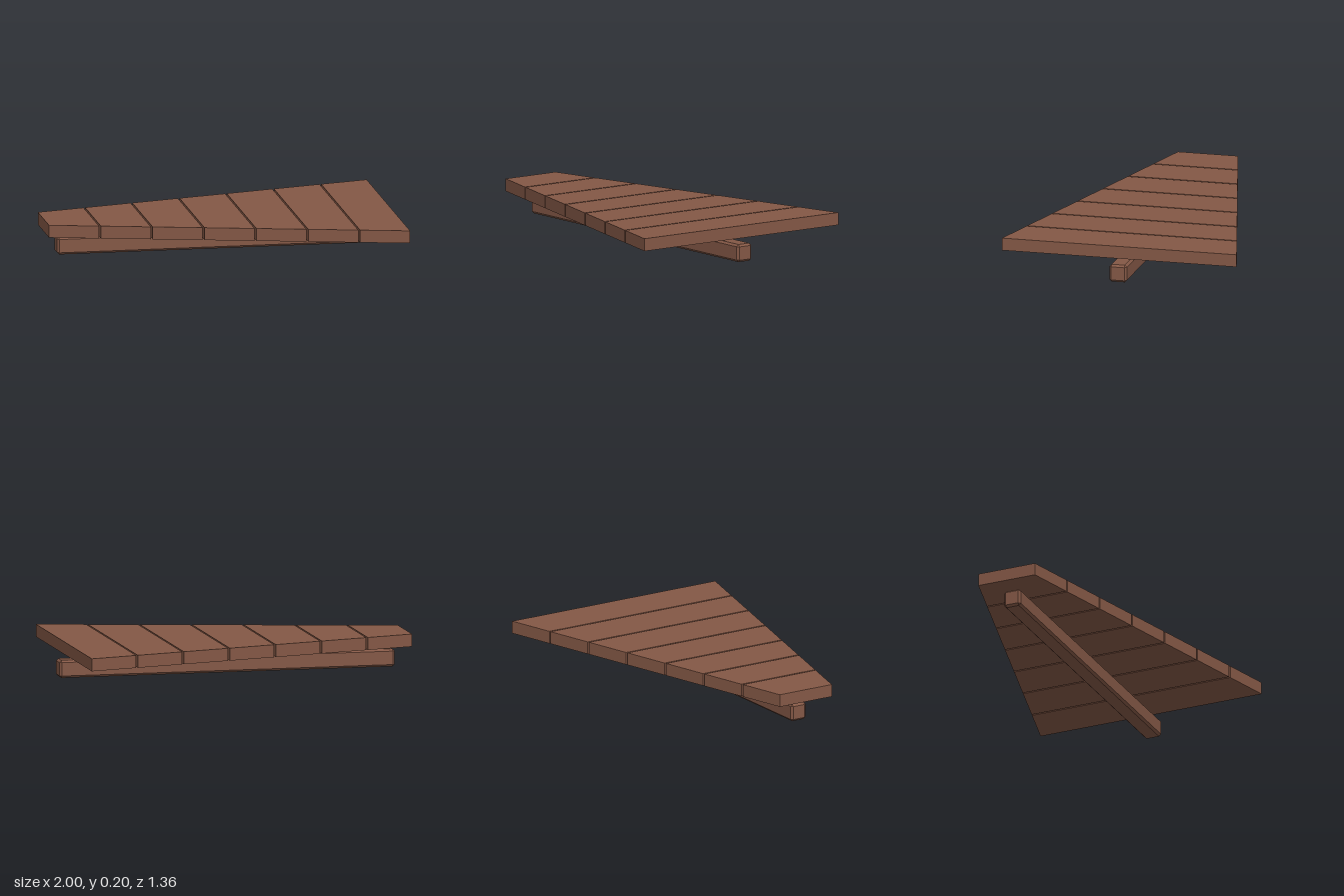
import * as THREE from 'three';
import { ConvexGeometry } from 'three/addons/geometries/ConvexGeometry.js';

const PLANKS = 7, LEFT = -1, RIGHT = 0.965, GAP = 0.01;
const PLANK_BOTTOM = 0.129, PLANK_THICKNESS = 0.071;

// Half depth of the tapered deck at a given x
const halfDepth = (x) => THREE.MathUtils.mapLinear(x, LEFT, RIGHT, 0.174, 0.68);

// Trapezoid board between two x positions
function plankGeometry(x0, x1) {
  const a = halfDepth(x0), b = halfDepth(x1);
  const shape = new THREE.Shape([
    new THREE.Vector2(x0, -a), new THREE.Vector2(x1, -b),
    new THREE.Vector2(x1, b), new THREE.Vector2(x0, a),
  ]);
  const geometry = new THREE.ExtrudeGeometry(shape, { depth: PLANK_THICKNESS, bevelEnabled: false });
  return geometry.rotateX(-Math.PI / 2);
}

// Box with every edge and corner cut flat
function chamferedBox(w, h, d, c) {
  const points = [];
  for (const sx of [-1, 1]) for (const sy of [-1, 1]) for (const sz of [-1, 1]) {
    const x = w / 2, y = h / 2, z = d / 2;
    points.push(
      new THREE.Vector3(sx * x, sy * (y - c), sz * (z - c)),
      new THREE.Vector3(sx * (x - c), sy * y, sz * (z - c)),
      new THREE.Vector3(sx * (x - c), sy * (y - c), sz * z),
    );
  }
  return new ConvexGeometry(points);
}

export function createModel() {
  const model = new THREE.Group();
  model.name = 'taperedPlankDeck';
  const wood = new THREE.MeshStandardMaterial({ color: 0x845846 });
  wood.name = 'brown wood';

  // Deck boards, widening from left to right
  const deck = new THREE.Group();
  deck.name = 'deck';
  const width = (RIGHT - LEFT - GAP * (PLANKS - 1)) / PLANKS;
  for (let i = 0; i < PLANKS; i++) {
    const x0 = LEFT + i * (width + GAP);
    const plank = new THREE.Mesh(plankGeometry(x0, x0 + width), wood);
    plank.name = `plank${i + 1}`;
    plank.position.y = PLANK_BOTTOM;
    deck.add(plank);
  }
  model.add(deck);

  // Support beam running beneath the boards
  const beam = new THREE.Mesh(chamferedBox(1.93, 0.1, 0.1, 0.012), wood);
  beam.name = 'supportBeam';
  beam.position.set(0.035, 0.05, 0);
  model.add(beam);

  return model;
}
